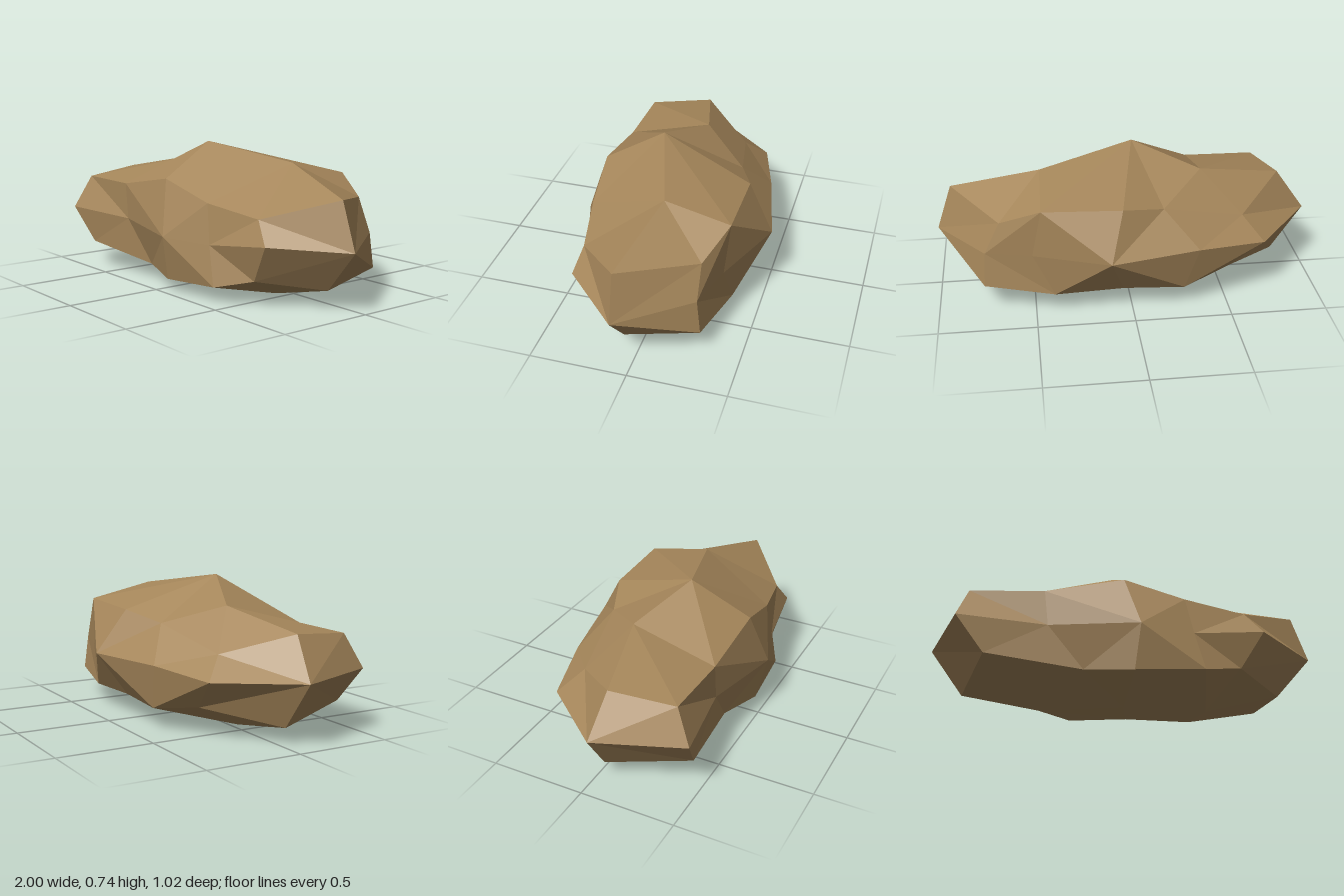
import * as THREE from 'three';

// Cross-sections from left end to right end of the boulder. Each has eight points [x, y, z]:
// top, front top, front, front bottom, bottom, back bottom, back, back top.
const sections = [
  [[-0.85, 0.53, 0.08], [-0.78, 0.5, 0.41], [-0.83, 0.325, 0.495], [-0.69, 0.14, 0.45],
    [-0.83, 0.08, 0.035], [-0.52, 0.15, -0.26], [-0.7, 0.31, -0.31], [-0.6, 0.42, -0.2]],
  [[-0.4, 0.62, -0.03], [-0.4, 0.5, 0.42], [-0.38, 0.31, 0.42], [-0.2, 0.085, 0.39],
    [-0.43, 0.01, 0.02], [-0.27, 0.11, -0.38], [-0.34, 0.34, -0.41], [-0.17, 0.52, -0.28]],
  [[-0.05, 0.74, 0.12], [0, 0.57, 0.43], [0.08, 0.29, 0.51], [0.05, 0.06, 0.46],
    [0.02, 0.09, -0.11], [0.045, 0.12, -0.37], [0.12, 0.34, -0.51], [0.05, 0.57, -0.37]],
  [[0.45, 0.66, -0.03], [0.31, 0.48, 0.4], [0.35, 0.28, 0.42], [0.4, 0.08, 0.435],
    [0.44, 0, 0.065], [0.4, 0.11, -0.375], [0.51, 0.33, -0.35], [0.46, 0.585, -0.37]],
  [[0.92, 0.54, 0.08], [0.62, 0.435, 0.335], [0.71, 0.32, 0.37], [0.59, 0.13, 0.335],
    [0.82, 0.09, 0.07], [0.76, 0.14, -0.3], [0.75, 0.32, -0.28], [0.67, 0.49, -0.28]],
];
const leftTip = [-1, 0.32, 0.05];
const rightTip = [1, 0.3, 0.075];

// Which way each four-sided facet folds, per strip from top round to the back:
// D folds from its left upper corner, U from its right upper corner.
const folds = ['UUDD', 'DDUU', 'UUDD', 'DDDU', 'UDUD', 'UDUD', 'UUDU', 'DDUU'];

function buildRock() {
  const positions = [];
  const tri = (...corners) => corners.forEach((p) => positions.push(...p));
  const last = sections.length - 1;

  for (let j = 0; j < 8; j++) {
    const k = (j + 1) % 8;
    // Strip of facets along the length
    for (let i = 0; i < last; i++) {
      const a = sections[i][j], b = sections[i + 1][j];
      const c = sections[i + 1][k], d = sections[i][k];
      if (folds[j][i] === 'D') {
        tri(a, d, c);
        tri(a, c, b);
      } else {
        tri(a, d, b);
        tri(d, c, b);
      }
    }
    // Pointed ends
    tri(leftTip, sections[0][k], sections[0][j]);
    tri(rightTip, sections[last][j], sections[last][k]);
  }

  const geometry = new THREE.BufferGeometry();
  geometry.setAttribute('position', new THREE.Float32BufferAttribute(positions, 3));
  geometry.computeVertexNormals();
  return geometry;
}

export function createModel() {
  const stone = new THREE.MeshStandardMaterial({ color: 0xa5865a, flatShading: true });
  stone.name = 'brown stone';

  const rock = new THREE.Mesh(buildRock(), stone);
  rock.name = 'boulder';

  const group = new THREE.Group();
  group.name = 'rock';
  group.add(rock);
  return group;
}
